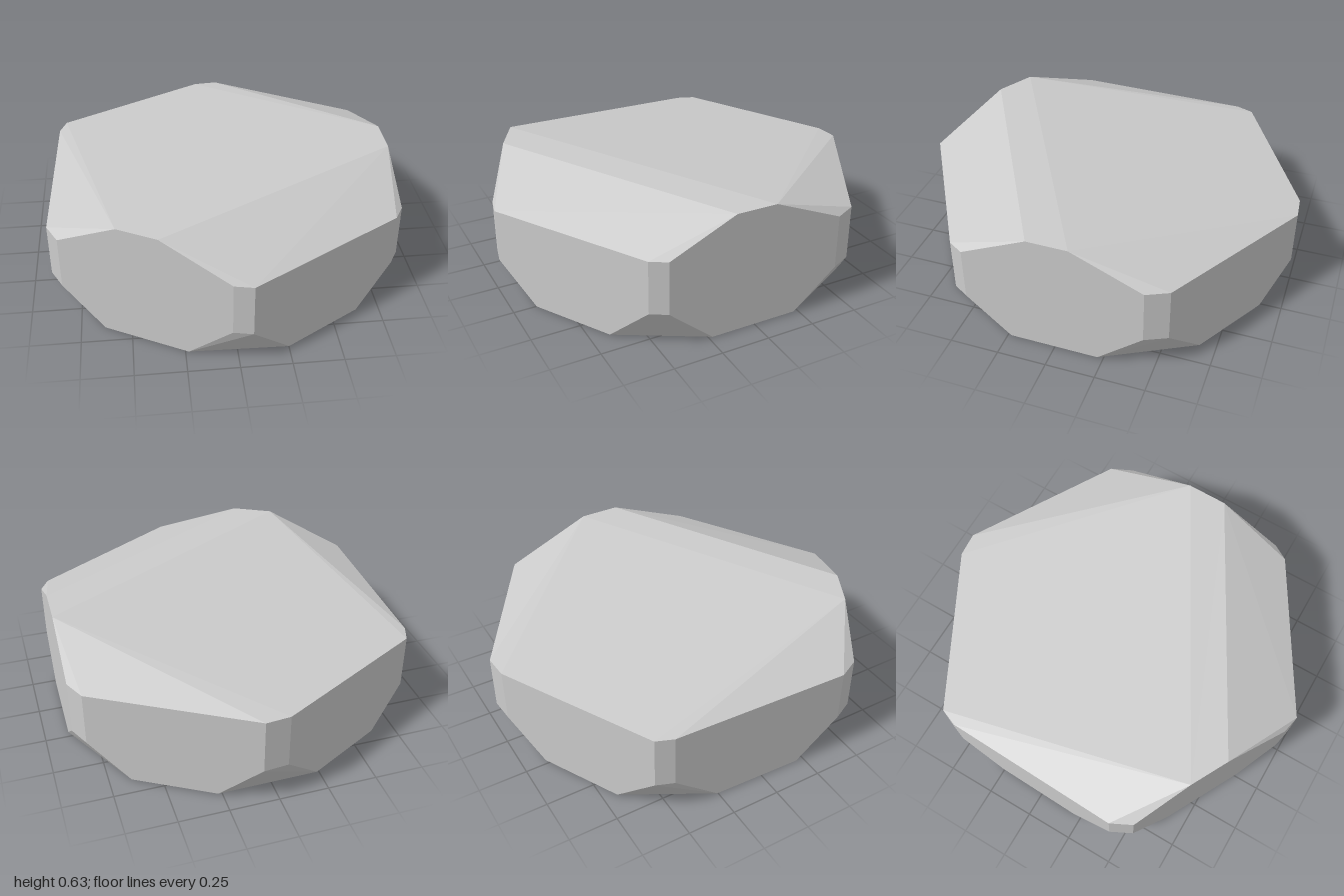
import * as THREE from 'three';
import { ConvexGeometry } from 'three/addons/geometries/ConvexGeometry.js';

// Plan outline of a hexagon with bevelled corners: each row is one side wall, [x, z] start and end.
const walls = [
  [[0.06, 0.995], [0.825, 0.54]],    // front left
  [[0.873, 0.46], [0.882, -0.45]],   // left
  [[0.83, -0.56], [0.085, -1.0]],    // back left
  [[-0.04, -0.99], [-0.82, -0.58]],  // back right
  [[-0.855, -0.49], [-0.885, 0.44]], // right
  [[-0.83, 0.55], [-0.035, 0.975]],  // front right
];

// Point on a wall at fraction t along its length
function onWall([a, b], t, y) {
  return new THREE.Vector3(
    THREE.MathUtils.lerp(a[0], b[0], t),
    y,
    THREE.MathUtils.lerp(a[1], b[1], t)
  );
}

export function createModel() {
  const points = [];

  for (const wall of walls) {
    // Vertical corner bevels
    for (const t of [0, 1]) {
      const z = wall[t][1];
      points.push(onWall(wall, t, 0.2), onWall(wall, t, 0.48 - 0.005 * z));
    }
    // Base edge, leaving a slanted cut below every corner
    for (const t of [0.25, 0.75]) {
      const p = onWall(wall, t, 0);
      p.y = 0.006 * (0.9 - p.z);
      points.push(p);
    }
  }

  // Narrow flat ridge across the top, running between two opposite walls
  for (const t of [0.374, 0.604]) points.push(onWall(walls[1], t, 0.635));
  for (const t of [0.355, 0.595]) points.push(onWall(walls[5], t, 0.63));

  const stone = new THREE.Mesh(
    new ConvexGeometry(points),
    new THREE.MeshStandardMaterial({ color: 0xcccccc, flatShading: true })
  );
  stone.name = 'facetedStone';

  const group = new THREE.Group();
  group.name = 'stone';
  group.add(stone);
  return group;
}
